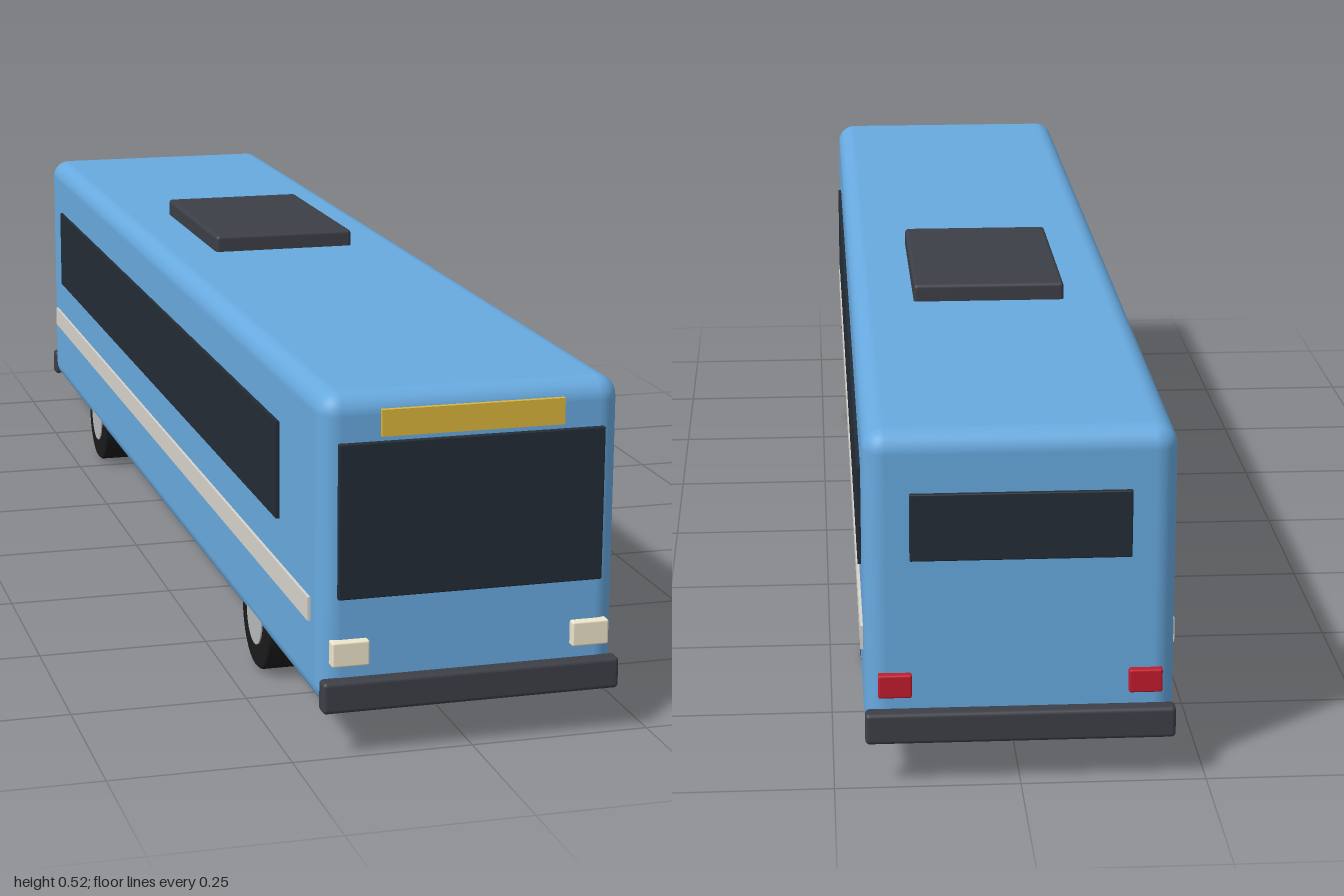
import * as THREE from 'three';
import { RoundedBoxGeometry } from 'three/addons/geometries/RoundedBoxGeometry.js';

const mat = (color) => new THREE.MeshStandardMaterial({ color });

const paint = mat(0x68aae0);
const glass = mat(0x232c36);
const trim = mat(0x3c3f46);
const rubber = mat(0x1b1b1d);
const hubMetal = mat(0xb8babd);
const stripeWhite = mat(0xd8d4cc);
const lampCream = mat(0xf0e6cc);
const lampRed = mat(0xc01c2c);
const signYellow = mat(0xdcb63c);

export function createModel() {
  const bus = new THREE.Group();
  bus.name = 'bus';

  // Block given by its [min, max] range on each axis, with optional rounded edges
  function block(name, material, [x0, x1], [y0, y1], [z0, z1], radius = 0) {
    const size = [x1 - x0, y1 - y0, z1 - z0];
    const geometry = radius
      ? new RoundedBoxGeometry(...size, 4, radius)
      : new THREE.BoxGeometry(...size);
    const mesh = new THREE.Mesh(geometry, material);
    mesh.name = name;
    mesh.position.set((x0 + x1) / 2, (y0 + y1) / 2, (z0 + z1) / 2);
    bus.add(mesh);
  }

  // Body shell and roof unit
  block('body', paint, [-0.208, 0.208], [0.059, 0.491], [-0.979, 0.981], 0.03);
  block('roofUnit', trim, [-0.114, 0.114], [0.485, 0.517], [-0.343, 0.014], 0.006);

  // Front and rear fittings
  block('windshield', glass, [-0.184, 0.184], [0.214, 0.426], [0.97, 0.987], 0.002);
  block('destinationSign', signYellow, [-0.126, 0.126], [0.433, 0.469], [0.965, 0.987]);
  block('rearWindow', glass, [-0.147, 0.147], [0.315, 0.408], [-0.985, -0.97], 0.002);
  block('frontBumper', trim, [-0.208, 0.208], [0.061, 0.105], [0.975, 1], 0.006);
  block('rearBumper', trim, [-0.208, 0.208], [0.061, 0.105], [-1, -0.975], 0.006);

  // Wheel: tyre with softened shoulders and a hub on the outer face
  const tyreProfile = [
    [0, -0.028], [0.074, -0.028], [0.078, -0.024],
    [0.078, 0.024], [0.074, 0.028], [0, 0.028],
  ].map(([r, h]) => new THREE.Vector2(r, h));
  const tyreGeometry = new THREE.LatheGeometry(tyreProfile, 32);
  const hubGeometry = new THREE.CylinderGeometry(0.042, 0.042, 0.058, 24);

  function wheel(name, side, z) {
    const group = new THREE.Group();
    group.name = name;
    const tyre = new THREE.Mesh(tyreGeometry, rubber);
    tyre.name = 'tyre';
    const hub = new THREE.Mesh(hubGeometry, hubMetal);
    hub.name = 'hub';
    hub.position.y = 0.001;
    group.add(tyre, hub);
    group.rotation.z = -side * Math.PI / 2;
    group.position.set(side * 0.177, 0.078, z);
    bus.add(group);
  }

  // Mirrored parts
  for (const [label, s] of [['left', 1], ['right', -1]]) {
    const span = (a, b) => (s > 0 ? [a, b] : [-b, -a]);
    block(`${label}SideWindow`, glass, span(0.2, 0.213), [0.267, 0.405], [-0.862, 0.773]);
    block(`${label}Stripe`, stripeWhite, span(0.2, 0.212), [0.172, 0.205], [-0.932, 0.935]);
    block(`${label}Headlight`, lampCream, span(0.142, 0.194), [0.123, 0.158], [0.97, 0.993], 0.003);
    block(`${label}TailLight`, lampRed, span(0.145, 0.19), [0.123, 0.156], [-0.989, -0.97], 0.003);
    wheel(`${label}FrontWheel`, s, 0.625);
    wheel(`${label}RearWheel`, s, -0.555);
  }

  return bus;
}
